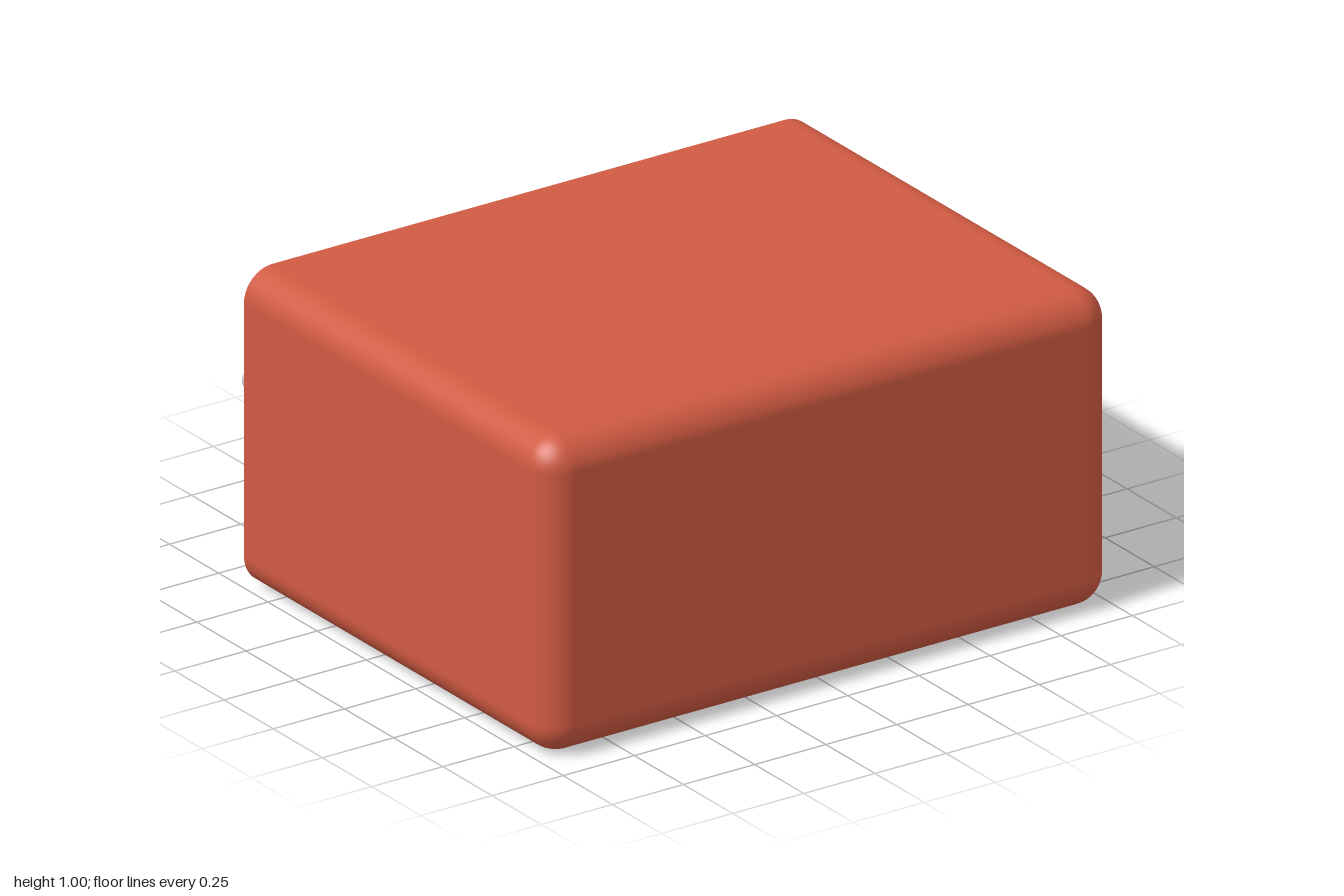
import * as THREE from 'three';

const R = 0.1, HALF_W = 1, HALF_H = 0.5, FRONT = 0.915, BACK = -0.622, SEG = 10;

// Angles and corner centres around a rounded rectangle, counterclockwise
function outline() {
  const pts = [];
  [[1, 1], [-1, 1], [-1, -1], [1, -1]].forEach(([sx, sy], q) => {
    for (let k = 0; k <= SEG; k++) {
      const a = (q + k / SEG) * Math.PI / 2;
      pts.push({ cx: sx * (HALF_W - R), cy: sy * (HALF_H - R), nx: Math.cos(a), ny: Math.sin(a) });
    }
  });
  return pts;
}

// Side wall that rounds over into the front face
function shellGeometry(loop) {
  const pos = [], nor = [], idx = [], n = loop.length;
  const rings = [{ t: 0, z: BACK }];
  for (let k = 0; k <= SEG; k++) {
    const t = k / SEG * Math.PI / 2;
    rings.push({ t, z: FRONT - R + R * Math.sin(t) });
  }
  rings.forEach(({ t, z }, i) => {
    const c = Math.cos(t);
    loop.forEach((p, j) => {
      pos.push(p.cx + p.nx * R * c, p.cy + p.ny * R * c, z);
      nor.push(p.nx * c, p.ny * c, Math.sin(t));
      if (i === 0) return;
      const j2 = (j + 1) % n, a = (i - 1) * n + j, b = (i - 1) * n + j2;
      idx.push(a, b, i * n + j2, a, i * n + j2, i * n + j);
    });
  });
  const g = new THREE.BufferGeometry();
  g.setAttribute('position', new THREE.Float32BufferAttribute(pos, 3));
  g.setAttribute('normal', new THREE.Float32BufferAttribute(nor, 3));
  g.setIndex(idx);
  return g;
}

export function createModel() {
  const group = new THREE.Group();
  const red = new THREE.MeshStandardMaterial({ color: 0xd05a42 });
  const grey = new THREE.MeshStandardMaterial({ color: 0xcccccc });
  const add = (name, geometry, material, x, y, z) => {
    const mesh = new THREE.Mesh(geometry, material);
    mesh.name = name;
    mesh.position.set(x, y, z);
    group.add(mesh);
    return mesh;
  };

  // Body: rounded shell, flat front, flat sharp-edged back
  const loop = outline();
  add('bodyShell', shellGeometry(loop), red, 0, HALF_H, 0);
  add('frontFace', new THREE.PlaneGeometry(2 * (HALF_W - R), 2 * (HALF_H - R)), red, 0, HALF_H, FRONT);
  const backShape = new THREE.Shape(loop.map(p => new THREE.Vector2(p.cx + p.nx * R, p.cy + p.ny * R)));
  add('backFace', new THREE.ShapeGeometry(backShape), red, 0, HALF_H, BACK).rotation.y = Math.PI;

  // Two round pins sticking out of the back
  const pinEnd = -0.915, pinStart = BACK + 0.02;
  const pin = new THREE.CylinderGeometry(0.0375, 0.0375, pinStart - pinEnd, 32).rotateX(Math.PI / 2);
  for (const s of [1, -1]) {
    add(s > 0 ? 'leftPin' : 'rightPin', pin, grey, s * 0.767, 0.5, (pinStart + pinEnd) / 2);
  }
  return group;
}
